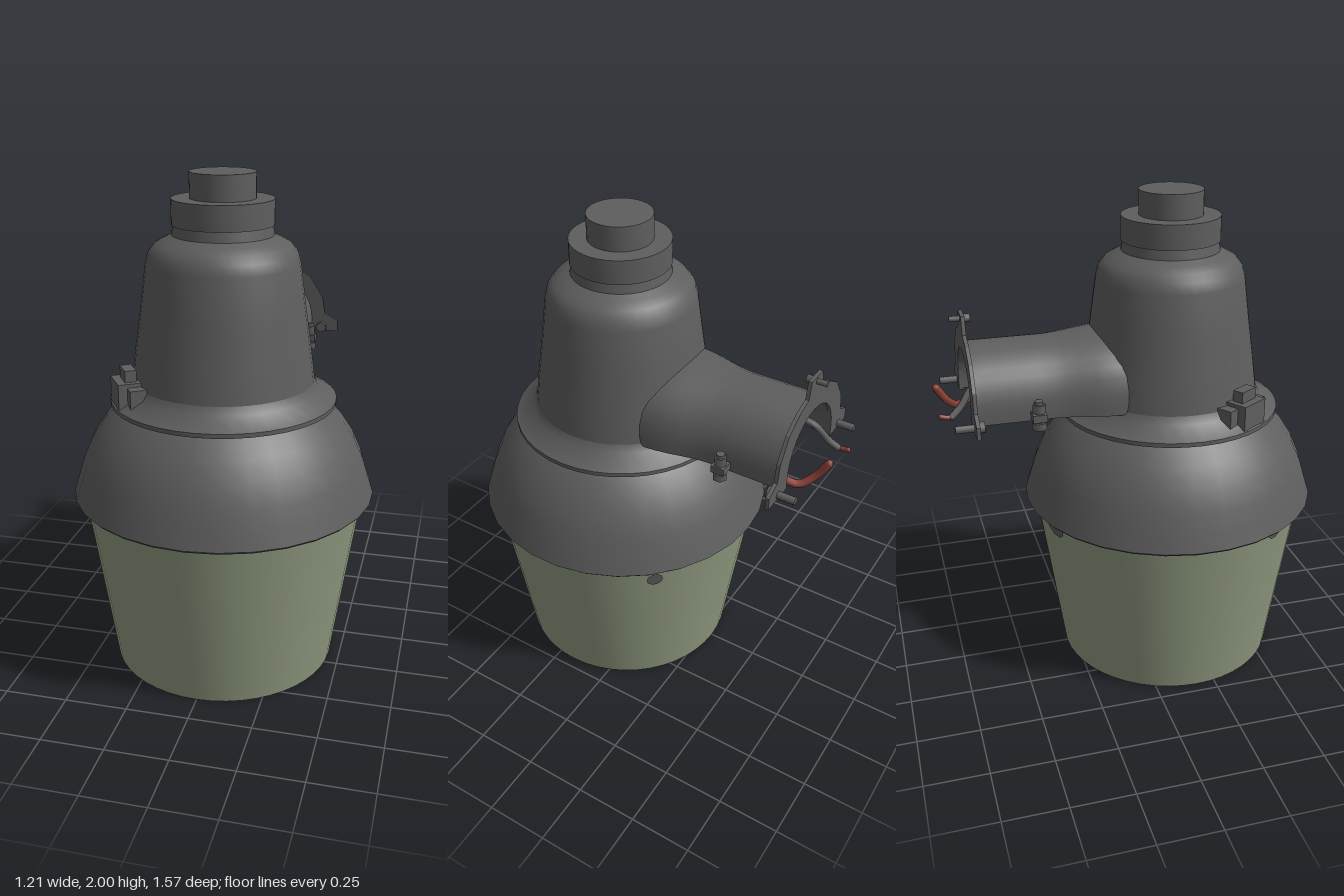
import * as THREE from 'three';
import { toCreasedNormals } from 'three/addons/utils/BufferGeometryUtils.js';

const mat = (name, color, side = THREE.FrontSide) => {
  const m = new THREE.MeshStandardMaterial({ color, side });
  m.name = name;
  return m;
};
const V = (x, y, z) => new THREE.Vector3(x, y, z);
const AXIS_Z = 0.17; // the lamp body stands forward of the wall bracket

export function createModel() {
  const metal = mat('housing grey', 0x5e5e5e, THREE.DoubleSide);
  const glass = mat('lens green', 0x8f9a80, THREE.DoubleSide);
  const red = mat('wire red', 0x8c4038);
  const model = new THREE.Group();

  const add = (name, geo, material = metal, parent = model) => {
    const m = new THREE.Mesh(geo, material);
    m.name = name;
    parent.add(m);
    return m;
  };
  const body = new THREE.Group();
  body.name = 'lampBody';
  body.position.z = AXIS_Z;
  model.add(body);

  const lathe = (name, pts, segments, material = metal) => add(name,
    toCreasedNormals(new THREE.LatheGeometry(pts.map(p => new THREE.Vector2(...p)), segments), 0.7),
    material, body);

  // Open tapered lens with a thin wall
  lathe('lens', [[0.555, 0.74], [0.445, 0.01], [0.456, 0.005], [0.567, 0.74]], 48, glass);

  // Skirt, flange, tapered tower and stacked cap
  lathe('skirt', [[0.56, 0.745], [0.597, 0.725], [0.606, 0.735], [0.585, 0.8], [0.56, 0.88],
    [0.525, 0.96], [0.475, 1.035], [0.43, 1.085], [0.4, 1.112]], 30);
  lathe('flange', [[0.36, 1.108], [0.448, 1.11], [0.448, 1.127], [0.375, 1.17], [0.36, 1.2]], 40);
  lathe('tower', [[0.362, 1.18], [0.344, 1.32], [0.318, 1.5], [0.297, 1.66], [0.286, 1.7],
    [0.262, 1.73], [0.225, 1.75], [0.196, 1.765], [0.188, 1.81]], 40);
  lathe('collar', [[0.18, 1.8], [0.196, 1.803], [0.196, 1.9], [0.12, 1.9]], 40);
  lathe('cap', [[0.127, 1.89], [0.127, 1.998], [0, 2]], 36);

  // Side latch on its boss
  const latch = new THREE.Group();
  latch.name = 'latch';
  latch.rotation.y = THREE.MathUtils.degToRad(212.5);
  body.add(latch);
  const block = (name, w, h, d, x, y, z = 0) =>
    add(name, new THREE.BoxGeometry(w, h, d), metal, latch).position.set(x, y, z);
  block('latchBoss', 0.12, 0.1, 0.22, 0.345, 1.165);
  block('latchBase', 0.1, 0.1, 0.13, 0.39, 1.18);
  block('latchKnob', 0.045, 0.05, 0.085, 0.385, 1.25);

  // Dark clip marks lying on the lens
  for (const [deg, y, r] of [[45, 0.66, 0.034], [110, 0.72, 0.065], [212.5, 0.72, 0.045]]) {
    const holder = new THREE.Group();
    holder.name = 'clipMark';
    holder.rotation.y = THREE.MathUtils.degToRad(deg);
    body.add(holder);
    const geo = new THREE.CircleGeometry(r, 10).rotateY(Math.PI / 2).rotateZ(-0.15);
    add('clipPatch', geo, metal, holder).position.set(0.46 + 0.151 * y, y, 0);
  }

  // Arched arm, open underneath, flaring where it meets the tower
  const arch = (r, low, mid) => {
    const pts = [[r, low]];
    for (let i = 0; i <= 16; i++) {
      const a = i / 16 * Math.PI;
      pts.push([r * Math.cos(a), mid + r * Math.sin(a)]);
    }
    pts.push([-r, low]);
    return pts.map(p => new THREE.Vector2(...p));
  };
  const armShape = new THREE.Shape([...arch(0.216, 1.19, 1.235), ...arch(0.193, 1.19, 1.235).reverse()]);
  const armGeo = new THREE.ExtrudeGeometry(armShape, { depth: 0.63, steps: 12, bevelEnabled: false });
  armGeo.translate(0, 0, -0.66);
  const p = armGeo.attributes.position;
  for (let i = 0; i < p.count; i++) {
    const t = THREE.MathUtils.smoothstep(p.getZ(i), -0.36, -0.1);
    p.setX(i, p.getX(i) * (1 + 0.2 * t));
    p.setY(i, p.getY(i) + 0.02 * t * (p.getY(i) > 1.3 ? 1 : 0));
  }
  add('arm', toCreasedNormals(armGeo, 0.7));

  // Arched wall plate with feet and a top tab
  const half = [[0.335, 1.185], [0.335, 1.235], [0.275, 1.265], [0.262, 1.34], [0.205, 1.43],
    [0.13, 1.478], [0.06, 1.5], [0.045, 1.57]];
  const outer = [...half, ...half.map(([x, y]) => [-x, y]).reverse()].map(q => new THREE.Vector2(...q));
  const plateShape = new THREE.Shape([...outer, ...arch(0.19, 1.185, 1.235).reverse()]);
  add('wallPlate', new THREE.ExtrudeGeometry(plateShape, { depth: 0.015, bevelEnabled: false }))
    .position.z = -0.669;

  // Screws through the plate, pointing back
  const screw = (x, y, r, back) => {
    const g = new THREE.Group();
    g.name = 'plateScrew';
    g.position.set(x, y, -0.655);
    model.add(g);
    const shank = new THREE.CylinderGeometry(r, r, back, 10).rotateX(Math.PI / 2);
    add('screwShank', shank, metal, g).position.z = -back / 2;
    const head = new THREE.CylinderGeometry(r * 1.6, r * 1.6, 0.025, 6).rotateX(Math.PI / 2);
    add('screwHead', head, metal, g).position.z = 0.012;
  };
  screw(0, 1.55, 0.011, 0.055);
  for (const s of [-1, 1]) {
    screw(s * 0.262, 1.205, 0.015, 0.085);

    // Clamp bolts and lugs beside the arm
    const lug = add('clampLug', new THREE.BoxGeometry(0.07, 0.03, 0.055));
    lug.position.set(s * 0.235, 1.215, -0.42);
    const bolt = add('clampBolt', new THREE.CylinderGeometry(0.017, 0.017, 0.11, 10));
    bolt.position.set(s * 0.245, 1.225, -0.42);
    const nut = add('clampNut', new THREE.CylinderGeometry(0.029, 0.029, 0.028, 6));
    nut.position.set(s * 0.245, 1.18, -0.42);
    const top = add('clampHead', new THREE.CylinderGeometry(0.025, 0.025, 0.035, 6));
    top.position.set(s * 0.245, 1.25, -0.42);
  }
  add('clampBar', new THREE.BoxGeometry(0.42, 0.03, 0.06)).position.set(0, 1.21, -0.42);

  // Loose supply wires hanging out of the arm
  const wire = (name, pts, r, material) => {
    const curve = new THREE.CatmullRomCurve3(pts.map(q => V(...q)));
    add(name, new THREE.TubeGeometry(curve, 24, r, 8), material);
    for (const q of [pts[0], pts[pts.length - 1]]) {
      add(name + 'End', new THREE.SphereGeometry(r, 8, 6), material).position.set(...q);
    }
  };
  wire('redWire', [[0.15, 1.25, -0.5], [0.14, 1.19, -0.61], [0.11, 1.155, -0.68],
    [0.075, 1.19, -0.73], [0.058, 1.255, -0.773]], 0.016, red);
  wire('greyWire', [[-0.06, 1.32, -0.5], [-0.08, 1.3, -0.64], [-0.105, 1.23, -0.7],
    [-0.12, 1.2, -0.735]], 0.014, metal);
  wire('wireTip', [[-0.12, 1.2, -0.73], [-0.123, 1.2, -0.755], [-0.12, 1.205, -0.777]], 0.01, red);

  return model;
}
